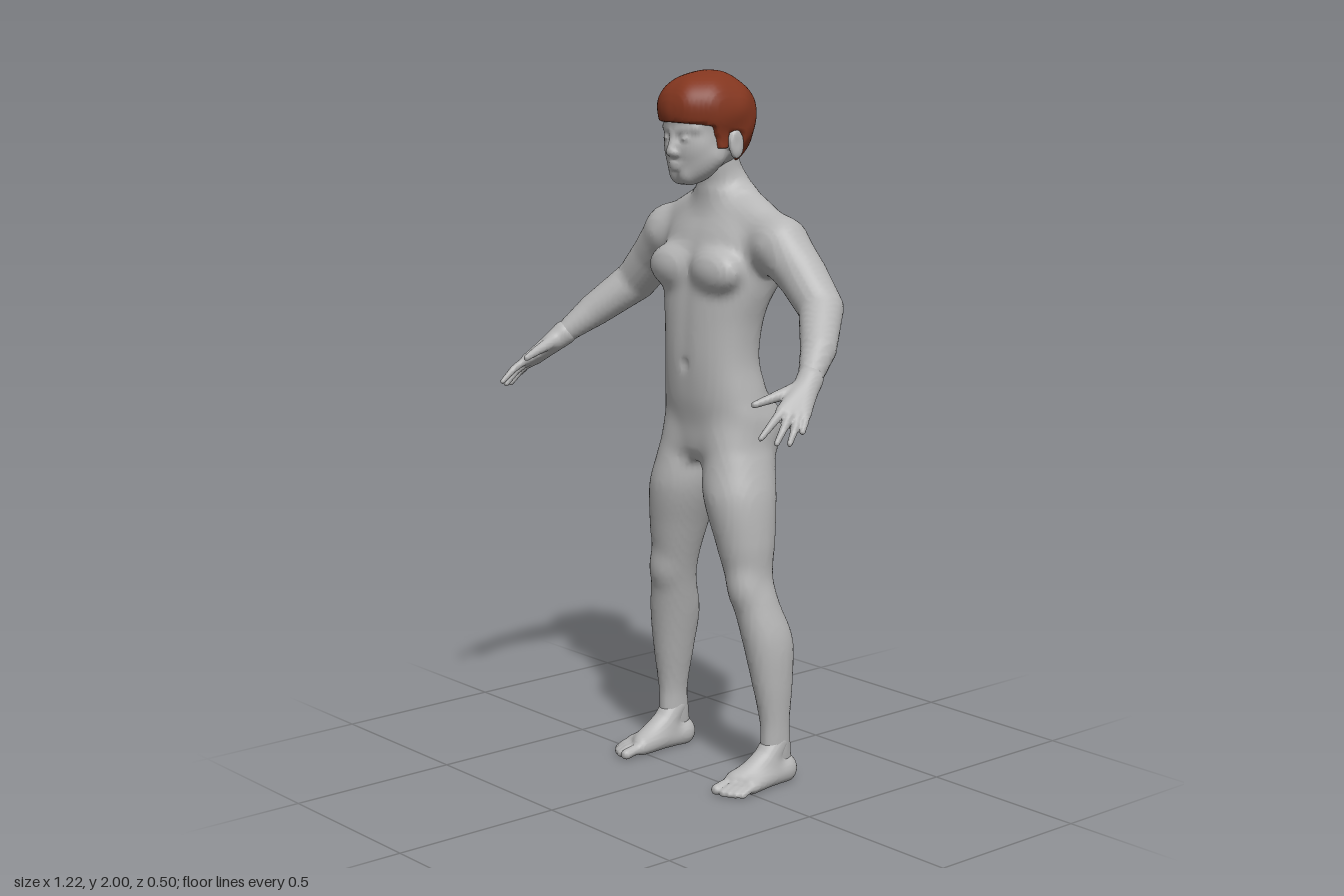
import * as THREE from 'three';

// ---- shape fields: negative inside, positive outside ----
const blend = (a, b, k) => {
  const h = Math.max(k - Math.abs(a - b), 0) / k;
  return Math.min(a, b) - h * h * k / 4;
};
const carve = (a, b, k) => -blend(-a, b, k);

const ellipsoid = (cx, cy, cz, rx, ry, rz) => {
  const m = Math.min(rx, ry, rz);
  return (x, y, z) => (Math.hypot((x - cx) / rx, (y - cy) / ry, (z - cz) / rz) - 1) * m;
};

// Rounded limb through points [x, y, z, radius]
const limb = (...pts) => (x, y, z) => {
  let best = 9;
  for (let i = 0; i < pts.length - 1; i++) {
    const [ax, ay, az, ar] = pts[i], [bx, by, bz, br] = pts[i + 1];
    const ux = bx - ax, uy = by - ay, uz = bz - az;
    const s = ((x - ax) * ux + (y - ay) * uy + (z - az) * uz) / (ux * ux + uy * uy + uz * uz);
    const t = Math.min(1, Math.max(0, s));
    const dx = x - ax - t * ux, dy = y - ay - t * uy, dz = z - az - t * uz;
    best = Math.min(best, Math.sqrt(dx * dx + dy * dy + dz * dz) - ar - t * (br - ar));
  }
  return best;
};

// Smooth stack of oval sections, rows of [y, centre x, half width, front z, back z]
const stack = (rows, n) => {
  const last = rows.length - 1;
  const slopes = rows.map((r, i) => {
    const a = rows[Math.max(0, i - 1)], b = rows[Math.min(last, i + 1)];
    return r.map((_, c) => (b[c] - a[c]) / (b[0] - a[0]));
  });
  return (x, y, z) => {
    const yc = Math.min(rows[last][0], Math.max(rows[0][0], y));
    let i = 0;
    while (i < last - 1 && yc > rows[i + 1][0]) i++;
    const a = rows[i], b = rows[i + 1], h = b[0] - a[0], t = (yc - a[0]) / h, u = 1 - t;
    const at = c => a[c] * u * u * (1 + 2 * t) + b[c] * t * t * (3 - 2 * t)
      + h * t * u * (slopes[i][c] * u - slopes[i + 1][c] * t);
    const w = at(2), front = at(3), back = at(4), d = (front - back) / 2;
    const q = (Math.abs((x - at(1)) / w) ** n + Math.abs((z - (front + back) / 2) / d) ** n) ** (1 / n);
    return Math.max((q - 1) * Math.min(w, d), rows[0][0] - y, y - rows[last][0]);
  };
};

// Turns a left-right symmetric field into a smooth mesh on a grid of step h
function skin(field, lo, hi, h) {
  const [nx, ny, nz] = lo.map((v, i) => Math.ceil((hi[i] - v) / h) + 1);
  const step = [1, nx, nx * ny];
  const val = new Float32Array(nx * ny * nz), cell = new Int32Array(val.length).fill(-1);
  for (let k = 0, n = 0; k < nz; k++) for (let j = 0; j < ny; j++) for (let i = 0; i < nx; i++)
    val[n++] = field(Math.abs(lo[0] + i * h), lo[1] + j * h, lo[2] + k * h);
  const edges = [];
  for (let c = 0; c < 8; c++) for (const bit of [1, 2, 4]) if (!(c & bit)) edges.push([c, c | bit]);
  const bits = c => [c & 1, (c >> 1) & 1, c >> 2];
  const corner = [...Array(8).keys()].map(c => bits(c).reduce((s, b, a) => s + b * step[a], 0));
  const pos = [], index = [];
  for (let k = 0; k < nz - 1; k++) for (let j = 0; j < ny - 1; j++) for (let i = 0; i < nx - 1; i++) {
    const n = i + step[1] * j + step[2] * k;
    let count = 0;
    const sum = [0, 0, 0];
    for (const [p, q] of edges) {
      const vp = val[n + corner[p]], vq = val[n + corner[q]];
      if ((vp < 0) === (vq < 0)) continue;
      const t = vp / (vp - vq), bp = bits(p), bq = bits(q);
      for (let a = 0; a < 3; a++) sum[a] += bp[a] + t * (bq[a] - bp[a]);
      count++;
    }
    if (!count) continue;
    cell[n] = pos.length / 3;
    pos.push(...[i, j, k].map((g, a) => lo[a] + h * (g + sum[a] / count)));
    if (!i || !j || !k) continue;
    for (let a = 0; a < 3; a++) {
      const inside = val[n] < 0;
      if (inside === (val[n + step[a]] < 0)) continue;
      const u = step[(a + 1) % 3], w = step[(a + 2) % 3];
      const [A, B, C, D] = [n, n - u, n - u - w, n - w].map(m => cell[m]);
      index.push(...(inside ? [A, B, C, A, C, D] : [A, C, B, A, D, C]));
    }
  }
  const g = new THREE.BufferGeometry();
  g.setAttribute('position', new THREE.Float32BufferAttribute(pos, 3));
  g.setIndex(index);
  g.computeVertexNormals();
  return g;
}

// ---- torso, legs, arms and neck ----
const torso = stack([
  [0.91, 0, 0.07, -0.02, -0.15], [0.95, 0, 0.14, -0.004, -0.19], [1.02, 0, 0.174, 0.002, -0.215],
  [1.1, 0, 0.164, 0.015, -0.21], [1.2, 0, 0.15, 0.022, -0.187], [1.3, 0, 0.156, 0.02, -0.195],
  [1.4, 0, 0.178, 0.012, -0.22], [1.48, 0, 0.188, 0.002, -0.232], [1.55, 0, 0.19, -0.02, -0.23],
  [1.61, 0, 0.15, -0.045, -0.21], [1.66, 0, 0.08, -0.06, -0.185]], 2.3);
const leg = stack([
  [0.05, 0.222, 0.03, -0.09, -0.185], [0.1, 0.222, 0.034, -0.082, -0.178], [0.18, 0.222, 0.037, -0.08, -0.172],
  [0.3, 0.214, 0.052, -0.06, -0.184], [0.42, 0.2, 0.064, -0.04, -0.19], [0.53, 0.176, 0.062, -0.024, -0.157],
  [0.6, 0.158, 0.063, -0.014, -0.152], [0.7, 0.142, 0.08, 0.004, -0.168], [0.82, 0.117, 0.097, 0.02, -0.188],
  [0.9, 0.102, 0.093, 0.01, -0.2], [1, 0.095, 0.07, -0.012, -0.215], [1.07, 0.09, 0.04, -0.05, -0.18]], 2.1);
const arm = limb([0.235, 1.525, -0.13, 0.077], [0.31, 1.455, -0.135, 0.068], [0.39, 1.375, -0.13, 0.061],
  [0.475, 1.285, -0.04, 0.049], [0.525, 1.215, 0.04, 0.031]);
const neck = limb([0, 1.6, -0.145, 0.072], [0, 1.78, -0.088, 0.06]);
const muscles = [
  [limb([0.03, 1.67, -0.14, 0.038], [0.22, 1.545, -0.13, 0.058]), 0.04], // shoulder slope
  [ellipsoid(0.087, 1.455, -0.017, 0.088, 0.062, 0.047), 0.02],          // chest
  [ellipsoid(0.088, 1.5, -0.18, 0.085, 0.11, 0.07), 0.04],               // shoulder blade
  [ellipsoid(0.084, 1.01, -0.16, 0.082, 0.09, 0.088), 0.03],             // buttock
  [ellipsoid(0.172, 0.57, -0.046, 0.035, 0.045, 0.03), 0.03]];           // kneecap
const navel = ellipsoid(0, 1.19, 0.026, 0.012, 0.014, 0.014);

function bodyField(x, y, z) {
  let d = blend(torso(x, y, z), leg(x, y, z), 0.03);
  for (const [m, k] of muscles) d = blend(d, m(x, y, z), k);
  const groove = Math.exp(-((x / 0.025) ** 2) - ((y - 1.35) / 0.2) ** 4);
  d += groove * (z < -0.1 ? 0.014 : 0.003);
  d = blend(d, neck(x, y, z), 0.04);
  d = blend(d, arm(x, y, z), 0.04);
  return carve(d, navel(x, y, z), 0.015);
}

// ---- head and hair ----
const skull = [ellipsoid(0, 1.885, -0.06, 0.106, 0.1, 0.125), ellipsoid(0, 1.82, -0.075, 0.1, 0.09, 0.085),
  ellipsoid(0, 1.8, -0.015, 0.088, 0.108, 0.077)];
const jaw = limb([0.066, 1.765, -0.03, 0.022], [0.018, 1.716, 0.022, 0.023]);
const skullField = (x, y, z) => blend(skull.reduce((d, f) => blend(d, f(x, y, z), 0.02), 9), jaw(x, y, z), 0.03);
const features = [
  [limb([0.012, 1.84, 0.05, 0.01], [0.06, 1.845, 0.03, 0.012]), 0.012],  // brow
  [limb([0, 1.825, 0.056, 0.009], [0, 1.782, 0.067, 0.014]), 0.012],     // nose
  [ellipsoid(0.013, 1.777, 0.06, 0.01, 0.008, 0.011), 0.008],            // nostril wing
  [ellipsoid(0, 1.748, 0.05, 0.027, 0.006, 0.012), 0.005],               // upper lip
  [ellipsoid(0, 1.736, 0.049, 0.022, 0.007, 0.012), 0.005],              // lower lip
  [ellipsoid(0.036, 1.817, 0.044, 0.017, 0.011, 0.014), 0.004],          // eye
  [ellipsoid(0.107, 1.8, -0.076, 0.012, 0.04, 0.025), 0.008]];           // ear
const socket = ellipsoid(0.036, 1.818, 0.068, 0.022, 0.014, 0.018);
const earHollow = ellipsoid(0.121, 1.806, -0.072, 0.007, 0.024, 0.014);

function headField(x, y, z) {
  let d = carve(skullField(x, y, z), socket(x, y, z), 0.012);
  for (const [f, k] of features) d = blend(d, f(x, y, z), k);
  return carve(d, earHollow(x, y, z), 0.006);
}

const hairCap = ellipsoid(0, 1.897, -0.056, 0.12, 0.101, 0.14);
const hairBack = ellipsoid(0, 1.85, -0.11, 0.108, 0.11, 0.08);
// Lower edge of the hair as [z, y], from nape past ear and sideburn to fringe
const hairline = [[-0.25, 1.75], [-0.105, 1.752], [-0.097, 1.83], [-0.058, 1.835], [-0.05, 1.79],
  [-0.022, 1.79], [-0.006, 1.852], [0.12, 1.868]];

function hairField(x, y, z) {
  let d = blend(hairCap(x, y, z), hairBack(x, y, z), 0.03);
  d = blend(d, skullField(x, y, z) - 0.008, 0.01);
  d += 0.002 * Math.sin(55 * x + 30 * y) * Math.sin(48 * z + 25 * y);
  const i = Math.max(1, hairline.findIndex(p => p[0] > z));
  const [z0, y0] = hairline[i - 1], [z1, y1] = hairline[i];
  return Math.max(d, y0 + (y1 - y0) * (z - z0) / (z1 - z0) - y);
}

// ---- hands: knuckle and tip of each finger ----
const wrist = [0.523, 1.218, 0.036, 0.03];
const fingers = [
  [[0.545, 1.152, 0.155], [0.556, 1.092, 0.238]], [[0.56, 1.142, 0.143], [0.581, 1.078, 0.206]],
  [[0.571, 1.137, 0.123], [0.598, 1.076, 0.176]], [[0.575, 1.142, 0.1], [0.602, 1.102, 0.135]]];
const palm = fingers.map(([k]) => limb(wrist, [...k, 0.016]));
const digits = fingers.map(([k, t]) =>
  limb([...k, 0.0125], [(k[0] + t[0]) / 2 + 0.004, (k[1] + t[1]) / 2 + 0.004, (k[2] + t[2]) / 2, 0.0105], [...t, 0.0075]));
digits.push(limb([0.522, 1.198, 0.08, 0.02], [0.504, 1.18, 0.15, 0.0135], [0.489, 1.166, 0.2, 0.009]));
const handField = (x, y, z) => digits.reduce((d, f) => blend(d, f(x, y, z), 0.006),
  palm.reduce((d, f) => blend(d, f(x, y, z), 0.012), 9));

// ---- feet ----
const heel = [0.222, 0.036, -0.152, 0.039];
const sole = [limb(heel, [0.203, 0.027, 0.01, 0.027]), limb(heel, [0.258, 0.022, -0.005, 0.023]),
  limb([0.222, 0.12, -0.13, 0.036], [0.222, 0.075, -0.095, 0.038], [0.22, 0.034, -0.01, 0.027])];
const toes = [[0.2, 0.073, 0.0155], [0.226, 0.071, 0.0115], [0.244, 0.064, 0.011], [0.26, 0.055, 0.0105], [0.274, 0.042, 0.01]]
  .map(([x, z, r]) => limb([x - 0.003, 0.024, z - 0.06, r], [x, 0.021, z - 0.025, r], [x, r, z, r]));
const footField = (x, y, z) => Math.max(0.001 - y, toes.reduce((d, f) => blend(d, f(x, y, z), 0.007),
  sole.reduce((d, f) => blend(d, f(x, y, z), 0.025), 9)));

export function createModel() {
  const model = new THREE.Group();
  model.name = 'standingFigure';
  const skinGrey = new THREE.MeshStandardMaterial({ color: 0xb6b6b6 });
  skinGrey.name = 'skinGrey';
  const hairBrown = new THREE.MeshStandardMaterial({ color: 0x83361f });
  hairBrown.name = 'hairBrown';
  const add = (name, material, ...shape) => {
    const mesh = new THREE.Mesh(skin(...shape), material);
    mesh.name = name;
    model.add(mesh);
  };
  add('body', skinGrey, bodyField, [-0.585, 0.03, -0.28], [0.585, 1.86, 0.09], 0.0115);
  add('head', skinGrey, headField, [-0.135, 1.66, -0.21], [0.135, 2.01, 0.1], 0.0065);
  add('hair', hairBrown, hairField, [-0.14, 1.72, -0.22], [0.14, 2.02, 0.11], 0.009);
  for (const [side, s] of [['left', 1], ['right', -1]]) {
    const pair = (a, b) => s > 0 ? [a, b] : [-b, -a];
    const [h0, h1] = pair(0.46, 0.63), [f0, f1] = pair(0.155, 0.305);
    add(side + 'Hand', skinGrey, handField, [h0, 1.04, -0.01], [h1, 1.27, 0.265], 0.005);
    add(side + 'Foot', skinGrey, footField, [f0, -0.012, -0.21], [f1, 0.18, 0.11], 0.006);
  }
  return model;
}
